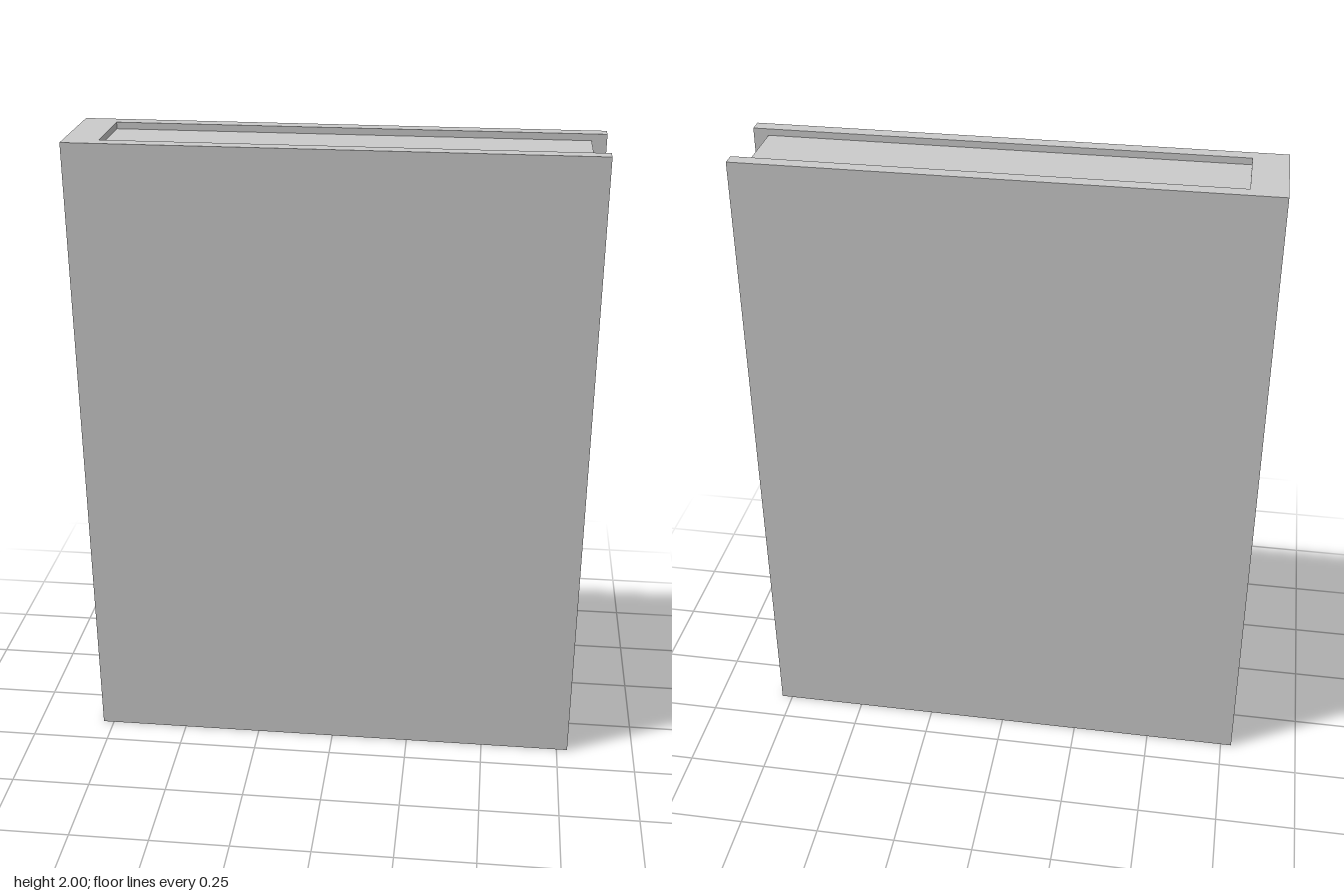
import * as THREE from 'three';

export function createModel() {
  const book = new THREE.Group();
  book.name = 'book';
  const material = new THREE.MeshStandardMaterial({ color: 0xcccccc, flatShading: true });

  const height = 2, halfWidth = 0.785, halfDepth = 0.153;
  const spineInner = -0.68, coverInner = 0.11;
  const pageEdge = 0.74, pageBottom = 0.025, pageTop = 1.98;

  // Cover: U-shaped section (two boards joined by the spine) raised to full height
  const section = new THREE.Shape([
    [-halfWidth, -halfDepth], [halfWidth, -halfDepth],
    [halfWidth, -coverInner], [spineInner, -coverInner],
    [spineInner, coverInner], [halfWidth, coverInner],
    [halfWidth, halfDepth], [-halfWidth, halfDepth],
  ].map(([x, y]) => new THREE.Vector2(x, y)));
  const coverGeometry = new THREE.ExtrudeGeometry(section, { depth: height, bevelEnabled: false });
  coverGeometry.rotateX(-Math.PI / 2);
  const cover = new THREE.Mesh(coverGeometry, material);
  cover.name = 'cover';
  book.add(cover);

  // Page block: recessed at the top, bottom and fore edge
  const pages = new THREE.Mesh(
    new THREE.BoxGeometry(pageEdge - spineInner, pageTop - pageBottom, coverInner * 2), material);
  pages.position.set((pageEdge + spineInner) / 2, (pageTop + pageBottom) / 2, 0);
  pages.name = 'pages';
  book.add(pages);

  return book;
}
